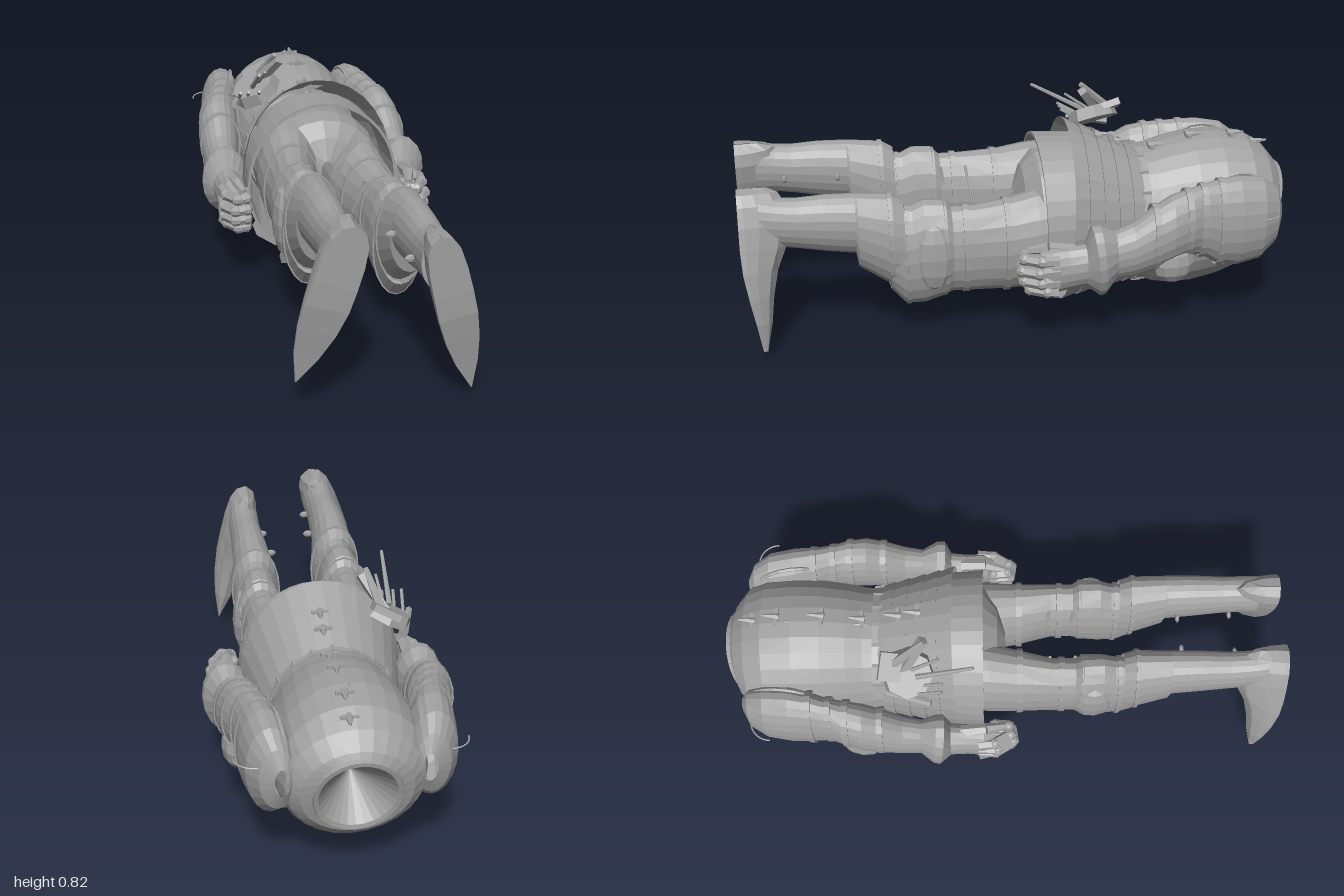
import * as THREE from 'three';

const steel = new THREE.MeshStandardMaterial({ color: 0xa0a0a0, flatShading: true, side: THREE.DoubleSide });
steel.name = 'steel';

function add(parent, name, geo, pos = [0, 0, 0], rot = [0, 0, 0], scale = [1, 1, 1]) {
  const m = new THREE.Mesh(geo, steel);
  m.name = name;
  m.position.set(...pos);
  m.rotation.set(...rot);
  m.scale.set(...scale);
  parent.add(m);
  return m;
}

// Skin of equal-length closed sections
function skin(rings) {
  const n = rings[0].length, index = [];
  for (let i = 0; i < rings.length - 1; i++)
    for (let j = 0; j < n; j++) {
      const a = i * n + j, b = i * n + (j + 1) % n;
      index.push(a, b, a + n, b, b + n, a + n);
    }
  const g = new THREE.BufferGeometry();
  g.setAttribute('position', new THREE.Float32BufferAttribute(rings.flat(2), 3));
  g.setIndex(index);
  g.computeVertexNormals();
  return g;
}

// Oval sections along z: [z, centreX, yMin, yMax, halfWidth, tilt]
function loft(rings, n = 20) {
  return skin(rings.map(([z, cx, y0, y1, rx, tilt = 0]) =>
    Array.from({ length: n }, (_, j) => {
      const a = (j / n) * Math.PI * 2, s = Math.sin(a);
      return [cx + rx * Math.cos(a), (y0 + y1) / 2 + (y1 - y0) / 2 * s, z + tilt * s];
    })));
}

// Thin raised band around a limb
function band(parent, name, z, cx, y0, y1, rx, w = 0.022) {
  const e = 0.006;
  add(parent, name, loft([
    [z, cx, y0, y1, rx], [z, cx, y0 - e, y1 + e, rx + e],
    [z + w, cx, y0 - e, y1 + e, rx + e], [z + w, cx, y0, y1, rx]]));
}

function rod(parent, name, a, b, r = 0.006, r2 = r) {
  const p = new THREE.Vector3(...a), q = new THREE.Vector3(...b);
  const m = add(parent, name, new THREE.CylinderGeometry(r2, r, p.distanceTo(q), 6));
  m.position.copy(p).add(q).multiplyScalar(0.5);
  m.quaternion.setFromUnitVectors(new THREE.Vector3(0, 1, 0), q.sub(p).normalize());
}

function makeTorso(root) {
  const g = new THREE.Group();
  g.name = 'torso';
  root.add(g);
  add(g, 'cuirass', loft([
    [-0.955, 0, 0.215, 0.5, 0.14, -0.035], [-0.945, 0, 0.195, 0.53, 0.185, -0.03],
    [-0.91, 0, 0.17, 0.585, 0.228, -0.02], [-0.85, 0, 0.13, 0.63, 0.246, -0.01],
    [-0.75, 0, 0.09, 0.65, 0.252], [-0.65, 0, 0.066, 0.647, 0.248], [-0.56, 0, 0.064, 0.63, 0.238],
    [-0.5, 0, 0.075, 0.612, 0.228], [-0.44, 0, 0.11, 0.6, 0.22]], 28));
  // Rolled collar and the funnel inside the neck
  add(g, 'collar', loft([
    [-0.94, 0, 0.2, 0.515, 0.15, -0.035], [-0.965, 0, 0.21, 0.505, 0.143, -0.035],
    [-0.963, 0, 0.225, 0.49, 0.128, -0.035]], 28));
  add(g, 'neckFunnel', loft([
    [-0.963, 0, 0.225, 0.49, 0.128, -0.035], [-0.8, 0, 0.35, 0.36, 0.005]], 28));
  // Faulds in overlapping lames
  const lames = [];
  for (let i = 0; i < 5; i++)
    for (const [t, e] of [[i / 5, 0], [(i + 1) / 5, 0.006]])
      lames.push([-0.45 + 0.285 * t, 0, 0.1 - 0.06 * t - e, 0.605 + 0.118 * t + e, 0.225 + 0.055 * t + e, -0.015 * t]);
  add(g, 'faulds', loft(lames, 28));
  // Hem plate wrapping the back and sides only
  add(g, 'hem', skin(Array.from({ length: 25 }, (_, i) => {
    const a = -0.5 + (i / 24) * (Math.PI + 1);
    return [[0.272, -0.24], [0.284, -0.07], [0.274, -0.07], [0.262, -0.24]].map(([r, z]) =>
      [r * Math.cos(a), 0.36 + (r + 0.031) * Math.sin(a), z]);
  })));
  band(g, 'belt', -0.465, 0, 0.09, 0.605, 0.226, 0.035);
  for (let i = 0; i < 20; i++) {
    const a = (i / 20) * Math.PI * 2;
    add(g, 'beltStud', new THREE.BoxGeometry(0.01, 0.01, 0.035),
      [0.23 * Math.cos(a), 0.348 + 0.261 * Math.sin(a), -0.447]);
  }
  add(g, 'hips', loft([
    [-0.44, 0, 0.12, 0.59, 0.21], [-0.3, 0, 0.13, 0.61, 0.225], [-0.15, 0, 0.15, 0.62, 0.235],
    [-0.07, 0, 0.18, 0.61, 0.22], [-0.02, 0, 0.24, 0.56, 0.14], [0.01, 0, 0.32, 0.48, 0.03]]));
  // Back seam with lace clasps
  for (const [z, y] of [[-0.89, 0.605], [-0.8, 0.643], [-0.64, 0.648], [-0.5, 0.615], [-0.37, 0.642], [-0.3, 0.67]]) {
    add(g, 'clasp', new THREE.BoxGeometry(0.06, 0.012, 0.014), [0.02, y, z]);
    rod(g, 'lace', [0.02, y, z + 0.01], [0.025, y + 0.004, z - 0.05], 0.014, 0.004);
  }
  rod(g, 'backSeam', [0, 0.648, -0.77], [0, 0.61, -0.48], 0.004);
}

function makeArm(root, s) {
  const g = new THREE.Group();
  g.name = s > 0 ? 'leftArm' : 'rightArm';
  g.scale.x = s;
  g.position.y = s > 0 ? 0 : 0.015;
  root.add(g);
  add(g, 'sleeve', loft([
    [-0.935, 0.235, 0.36, 0.46, 0.025], [-0.91, 0.248, 0.3, 0.52, 0.06], [-0.85, 0.262, 0.25, 0.565, 0.082],
    [-0.76, 0.272, 0.235, 0.58, 0.087], [-0.68, 0.285, 0.255, 0.575, 0.075], [-0.62, 0.3, 0.3, 0.568, 0.066],
    [-0.57, 0.313, 0.31, 0.56, 0.073], [-0.5, 0.325, 0.29, 0.545, 0.079], [-0.43, 0.331, 0.27, 0.505, 0.073],
    [-0.36, 0.335, 0.255, 0.455, 0.064], [-0.28, 0.338, 0.25, 0.425, 0.056]]));
  // Rim of the shoulder plate against the torso
  add(g, 'shoulderRim', new THREE.TorusGeometry(0.15, 0.007, 5, 24),
    [0.232, 0.405, -0.77], [0, Math.PI / 2 + 0.12, 0], [1, 1.1, 1]);
  band(g, 'armStrap', -0.7, 0.282, 0.248, 0.576, 0.077);
  band(g, 'armStrap', -0.63, 0.298, 0.295, 0.569, 0.067);
  band(g, 'elbowEdge', -0.57, 0.314, 0.31, 0.56, 0.074);
  band(g, 'elbowEdge', -0.45, 0.328, 0.275, 0.515, 0.074);
  add(g, 'elbowWing', new THREE.SphereGeometry(0.075, 10, 6), [0.345, 0.295, -0.51], [0, 0.1, 0], [0.6, 1, 1.05]);
  add(g, 'shoulderTie', new THREE.TorusGeometry(0.07, 0.003, 4, 12, Math.PI / 2),
    [0.31, 0.45, -0.83], [-Math.PI / 2, 0, 0]);
  add(g, 'gauntletCuff', loft([
    [-0.25, 0.345, 0.2, 0.46, 0.083, 0.01], [-0.225, 0.345, 0.195, 0.46, 0.086, 0.015],
    [-0.19, 0.34, 0.235, 0.39, 0.055], [-0.13, 0.34, 0.225, 0.385, 0.05],
    [-0.07, 0.345, 0.215, 0.385, 0.048], [-0.03, 0.335, 0.23, 0.37, 0.035]], 16));
  add(g, 'cuffLining', loft([[-0.25, 0.345, 0.2, 0.46, 0.083, 0.01], [-0.3, 0.338, 0.25, 0.43, 0.056]], 16));
  // Curled fingers, the outer two shorter
  for (let i = 0; i < 4; i++) {
    const y = 0.23 + i * 0.04, k = [-0.03, -0.008, 0, -0.01][i], x = [-0.012, 0, 0.002, -0.008][i];
    const path = [[0.375, y, -0.09], [0.378 + x, y, -0.02 + k], [0.345 + x, y, 0.036 + k], [0.305, y, 0.03 + k], [0.3, y, -0.03]];
    for (let j = 0; j < 4; j++) {
      rod(g, 'finger', path[j], path[j + 1], 0.021, 0.02);
      add(g, 'knuckle', new THREE.SphereGeometry(0.023, 7, 5), path[j + 1]);
    }
  }
  rod(g, 'thumb', [0.33, 0.365, -0.15], [0.325, 0.38, -0.06], 0.026, 0.022);
  rod(g, 'thumb', [0.325, 0.38, -0.06], [0.31, 0.37, 0.01], 0.022, 0.012);
}

// Pointed shoe: flat sole, domed upper, running from heel to toe
function shoe(heel, toe, width) {
  const dx = toe[0] - heel[0], dy = toe[1] - heel[1], l = Math.hypot(dx, dy);
  const sections = [[0, 0.02, 0.1, 1], [0.03, 0.55, 0.14, 1], [0.1, 0.84, 0.165, 1], [0.22, 0.97, 0.18, 1],
    [0.36, 1, 0.16, 1], [0.5, 1, 0.12, 0.995], [0.66, 0.87, 0.085, 0.98], [0.82, 0.58, 0.055, 0.962], [1, 0.03, 0.015, 0.945]];
  const profile = [[-1, 0], [1, 0], [1.02, 0.12], [0.92, 0.4], [0.6, 0.8], [0, 1], [-0.6, 0.8], [-0.92, 0.4], [-1.02, 0.12]];
  const rings = sections.map(([t, w, h, z]) => profile.map(([u, v]) =>
    [heel[0] + dx * t + dy / l * u * w * width, heel[1] + dy * t - dx / l * u * w * width, z - v * h]));
  return skin(rings);
}

function makeLeg(root, s) {
  const g = new THREE.Group();
  g.name = s > 0 ? 'leftLeg' : 'rightLeg';
  g.scale.x = s;
  g.position.y = s > 0 ? 0 : 0.075;
  root.add(g);
  add(g, 'thigh', loft([
    [-0.15, 0.125, 0.17, 0.53, 0.115], [-0.05, 0.133, 0.15, 0.52, 0.116], [0.05, 0.143, 0.15, 0.5, 0.102],
    [0.18, 0.158, 0.16, 0.49, 0.083], [0.3, 0.159, 0.165, 0.49, 0.082], [0.36, 0.159, 0.18, 0.49, 0.082]]));
  add(g, 'knee', loft([
    [0.26, 0.159, 0.165, 0.49, 0.084], [0.29, 0.16, 0.15, 0.52, 0.094], [0.36, 0.158, 0.127, 0.525, 0.09],
    [0.4, 0.157, 0.127, 0.505, 0.086], [0.43, 0.157, 0.13, 0.5, 0.084], [0.48, 0.157, 0.19, 0.51, 0.083]]));
  add(g, 'kneeWing', new THREE.SphereGeometry(0.08, 10, 6), [0.225, 0.33, 0.33], [0, -0.1, 0], [0.5, 1.6, 0.95]);
  add(g, 'greave', loft([
    [0.43, 0.157, 0.2, 0.53, 0.085], [0.47, 0.157, 0.205, 0.555, 0.09], [0.52, 0.158, 0.24, 0.56, 0.085],
    [0.59, 0.159, 0.29, 0.567, 0.076], [0.6, 0.159, 0.345, 0.567, 0.073], [0.7, 0.159, 0.36, 0.57, 0.068],
    [0.8, 0.159, 0.38, 0.565, 0.062], [0.86, 0.158, 0.39, 0.57, 0.061], [0.93, 0.155, 0.39, 0.585, 0.06]]));
  band(g, 'thighStrap', 0.05, 0.143, 0.15, 0.5, 0.102);
  band(g, 'thighStrap', 0.2, 0.158, 0.162, 0.49, 0.083);
  band(g, 'kneeEdge', 0.28, 0.16, 0.156, 0.51, 0.09, 0.015);
  band(g, 'kneeEdge', 0.41, 0.157, 0.13, 0.502, 0.085, 0.015);
  band(g, 'greaveEdge', 0.47, 0.157, 0.21, 0.555, 0.09, 0.015);
  for (const [z, x] of [[0.64, 0.075], [0.83, 0.088]])
    add(g, 'buckle', new THREE.SphereGeometry(0.02, 6, 4), [x, 0.46, z], [0, 0, 0], [1, 0.7, 0.45]);
  // Strap ends hanging along the inner thigh
  for (let i = 0; i < 4; i++)
    rod(g, 'strapEnd', [0.055 + i * 0.008, 0.36 - i * 0.03, 0.06 + i * 0.09], [0.1, 0.46, 0.08 + i * 0.09], 0.005);
}

function makeGear(root) {
  const g = new THREE.Group();
  g.name = 'beltGear';
  root.add(g);
  // Purse on the back with protruding handles
  add(g, 'purse', new THREE.CylinderGeometry(0.085, 0.095, 0.045, 8), [-0.205, 0.665, -0.33], [0.2, 0, 0.5]);
  add(g, 'purseFlap', new THREE.BoxGeometry(0.1, 0.025, 0.12), [-0.19, 0.695, -0.37], [0.3, 0, 0.5]);
  add(g, 'purseTag', new THREE.BoxGeometry(0.03, 0.15, 0.03), [-0.16, 0.735, -0.31], [0.6, 0, -0.5]);
  rod(g, 'handle', [-0.22, 0.68, -0.3], [-0.228, 0.79, -0.1], 0.01, 0.006);
  rod(g, 'handle', [-0.18, 0.7, -0.38], [-0.14, 0.81, -0.27], 0.018, 0.01);
  rod(g, 'handle', [-0.25, 0.62, -0.4], [-0.3, 0.63, -0.25], 0.018, 0.012);
  rod(g, 'handle', [-0.2, 0.67, -0.34], [-0.185, 0.76, -0.22], 0.008, 0.005);
  for (const x of [-0.27, -0.24, -0.2]) rod(g, 'tassel', [x, 0.64, -0.3], [x - 0.01, 0.69, -0.21], 0.006);
  // Pouch and tag at the front
  add(g, 'frontPouch', new THREE.BoxGeometry(0.09, 0.035, 0.1), [-0.19, 0.115, -0.22], [0, 0, -0.6]);
  add(g, 'frontTag', new THREE.BoxGeometry(0.042, 0.055, 0.04), [-0.12, 0.034, -0.17], [0.3, 0, -0.15]);
}

export function createModel() {
  const root = new THREE.Group();
  root.name = 'armour';
  makeTorso(root);
  for (const s of [1, -1]) {
    makeArm(root, s);
    makeLeg(root, s);
  }
  add(root, 'leftShoe', shoe([0.135, 0.605], [0.27, 0.035], 0.064));
  add(root, 'rightShoe', shoe([-0.13, 0.665], [-0.31, 0.125], 0.073));
  makeGear(root);
  return root;
}
